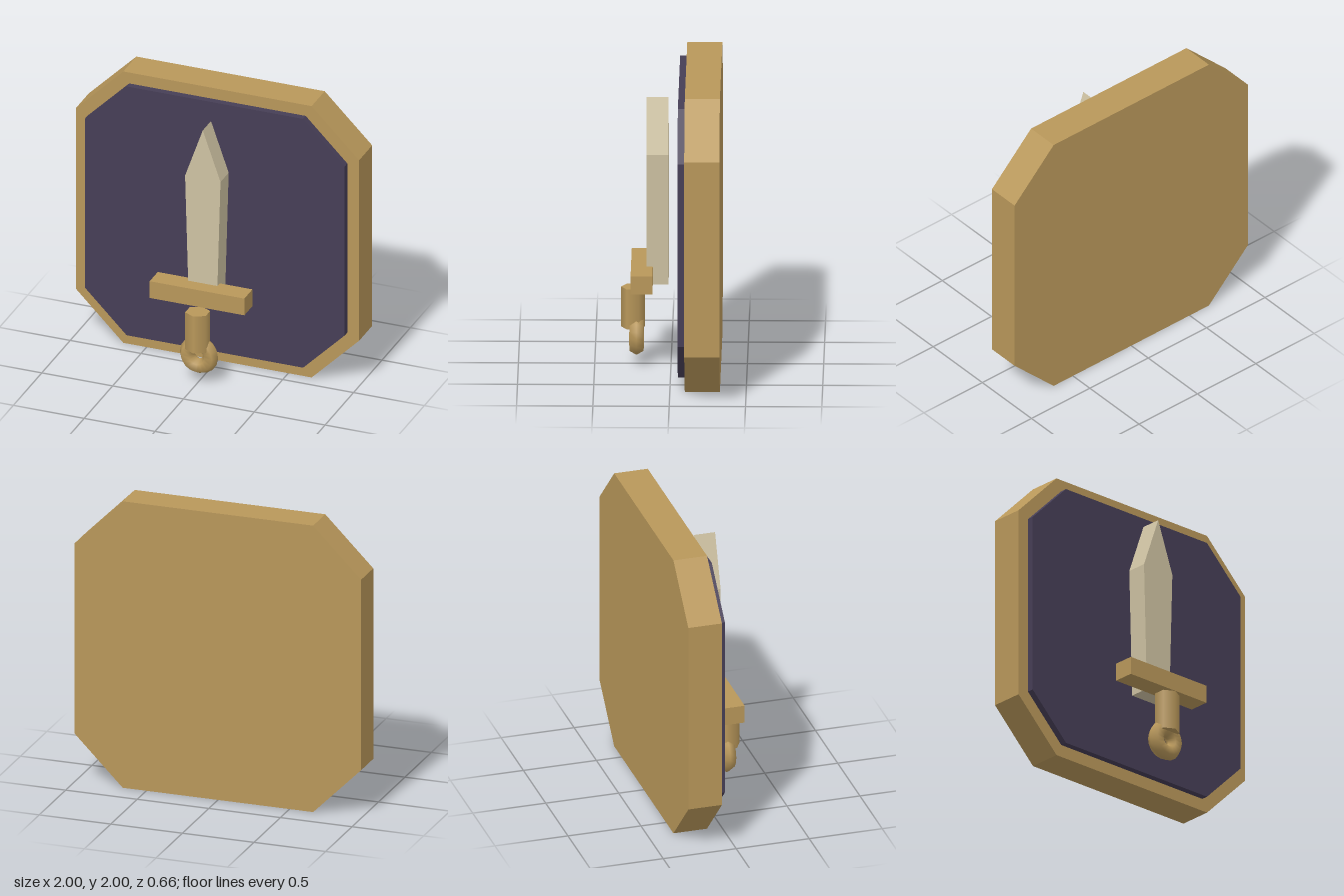
import * as THREE from 'three';

const gold = new THREE.MeshStandardMaterial({ name: 'gold', color: 0xb8975a });
const purple = new THREE.MeshStandardMaterial({ name: 'dark purple', color: 0x463e56 });
const steel = new THREE.MeshStandardMaterial({ name: 'pale steel', color: 0xcec2a2 });

// Flat outline given depth, with its back face at z = back
function plate(points, back, front) {
  const shape = new THREE.Shape(points.map(([x, y]) => new THREE.Vector2(x, y)));
  const geometry = new THREE.ExtrudeGeometry(shape, { depth: front - back, bevelEnabled: false });
  return geometry.translate(0, 0, back);
}

// Square with cut corners, centred on x = 0, y = cy
function octagon(half, inner, cy) {
  return [
    [-inner, cy - half], [inner, cy - half], [half, cy - inner], [half, cy + inner],
    [inner, cy + half], [-inner, cy + half], [-half, cy + inner], [-half, cy - inner],
  ];
}

export function createModel() {
  const model = new THREE.Group();
  model.name = 'swordPlaque';
  const add = (name, geometry, material) => {
    const mesh = new THREE.Mesh(geometry, material);
    mesh.name = name;
    model.add(mesh);
    return mesh;
  };

  // Backing board and raised panel
  add('backingBoard', plate(octagon(1, 0.665, 1), -0.328, -0.098), gold);
  add('panel', plate(octagon(0.917, 0.623, 1.003), -0.12, -0.052), purple);

  // Blade widening slightly towards the point
  const blade = [[-0.1, 0.567], [0.1, 0.567], [0.125, 1.46], [0, 1.817], [-0.125, 1.46]];
  add('blade', plate(blade, 0.016, 0.16), steel);

  // Crossguard
  add('crossguard', new THREE.BoxGeometry(0.668, 0.123, 0.143), gold).position.set(0, 0.628, 0.19);

  // Six-sided grip
  const grip = add('grip', new THREE.CylinderGeometry(0.078, 0.078, 0.272, 6), gold);
  grip.scale.x = 1.07;
  grip.position.set(0, 0.388, 0.25);

  // Ring pommel
  add('pommel', new THREE.TorusGeometry(0.081, 0.054, 6, 16), gold).position.set(0, 0.197, 0.226);

  return model;
}
